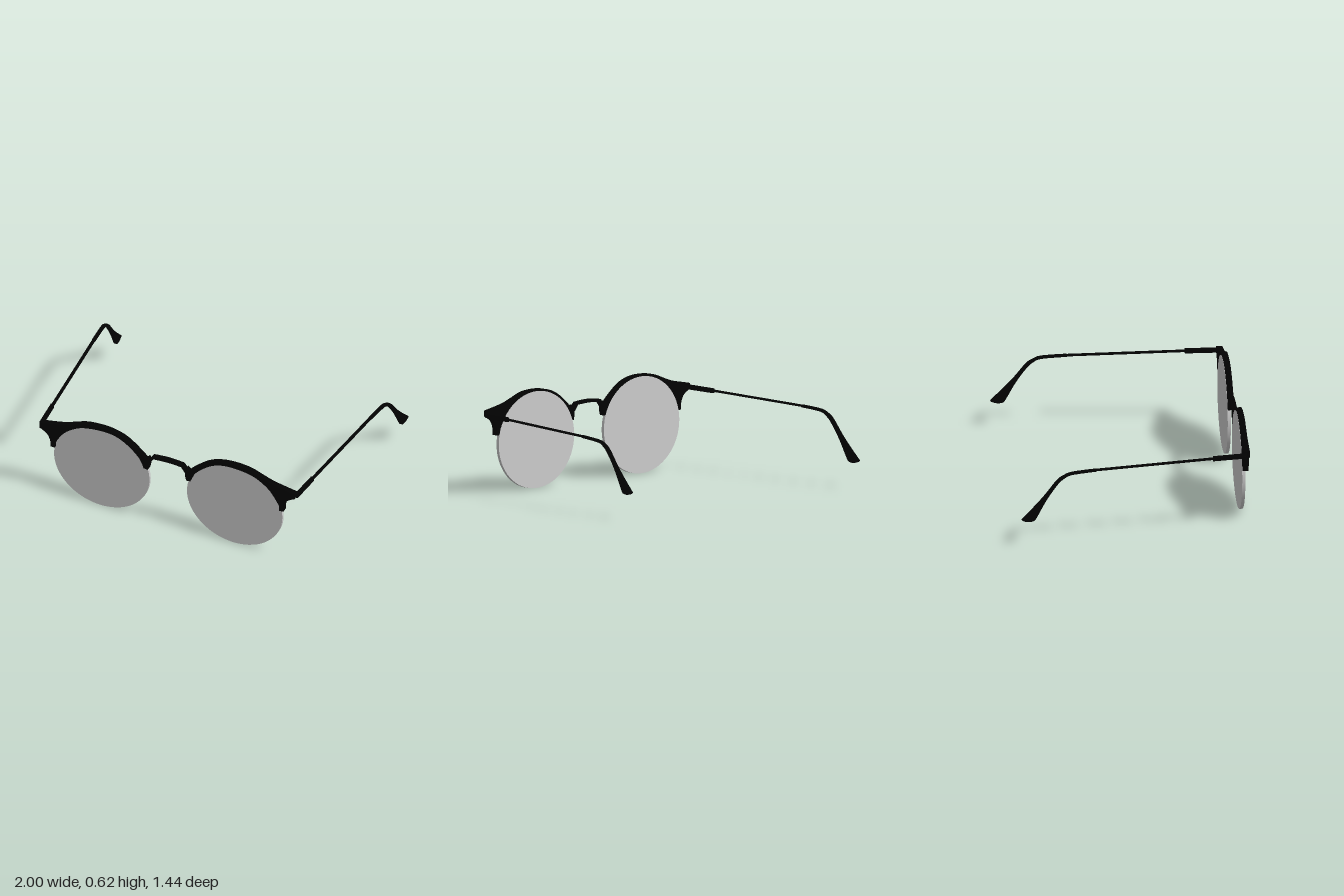
import * as THREE from 'three';
import { toCreasedNormals } from 'three/addons/utils/BufferGeometryUtils.js';

const black = new THREE.MeshStandardMaterial({ color: 0x020202 });
const grey = new THREE.MeshStandardMaterial({ color: 0xcccccc });

// Outline from runs of points: single points are corners, longer runs are smooth curves.
function outline(runs, s = 1) {
  const shape = new THREE.Shape();
  runs.forEach((run, i) => {
    const pts = run.map(([x, y]) => new THREE.Vector2(x * s, y));
    if (i === 0) shape.moveTo(pts[0].x, pts[0].y);
    else shape.lineTo(pts[0].x, pts[0].y);
    if (pts.length > 1) shape.splineThru(pts.slice(1));
  });
  shape.closePath();
  return shape;
}

// Slab of the given total thickness, centred on z = 0.
function slab(shape, thickness, bevel) {
  const depth = thickness - 2 * bevel;
  const g = new THREE.ExtrudeGeometry(shape, {
    depth, curveSegments: 5, bevelEnabled: bevel > 0,
    bevelThickness: bevel, bevelSize: bevel, bevelOffset: -bevel, bevelSegments: 2,
  });
  return toCreasedNormals(g.translate(0, 0, -depth / 2), 0.6);
}

function add(parent, name, geometry, material = black) {
  const mesh = new THREE.Mesh(geometry, material);
  mesh.name = name;
  parent.add(mesh);
  return mesh;
}

// Half-rim brow: nose end, outer arc, end piece, outer prong, inner arc.
const browRuns = [
  [[0.132, 0.397], [0.124, 0.44], [0.13, 0.49]],
  [[0.148, 0.472], [0.195, 0.517], [0.275, 0.579], [0.355, 0.612], [0.45, 0.624], [0.56, 0.615], [0.65, 0.583], [0.73, 0.556], [0.877, 0.527]],
  [[0.877, 0.49]],
  [[0.865, 0.485], [0.825, 0.458], [0.804, 0.415], [0.8, 0.366]],
  [[0.772, 0.366]],
  [[0.77, 0.405], [0.714, 0.492], [0.65, 0.547], [0.57, 0.584], [0.45, 0.599], [0.355, 0.588], [0.275, 0.547], [0.195, 0.473], [0.16, 0.4]],
];

// Bridge strip between the two nose ends.
const bridgeRuns = [
  [[-0.14, 0.45]],
  [[-0.128, 0.472]],
  [[-0.104, 0.504]],
  [[-0.08, 0.507], [0, 0.512], [0.08, 0.507]],
  [[0.104, 0.504]],
  [[0.128, 0.472]],
  [[0.14, 0.45]],
  [[0.122, 0.45]],
  [[0.094, 0.488], [0, 0.493], [-0.094, 0.488]],
  [[-0.122, 0.45]],
];

// Temple profiles, drawn as (z, y).
const hingeRuns = [[[0.7, 0.515]], [[0.49, 0.51]], [[0.49, 0.482]], [[0.7, 0.486]]];
const wireRuns = [[[0.5, 0.503]], [[-0.27, 0.479]], [[-0.27, 0.467]], [[0.5, 0.491]]];
const tipRuns = [
  [[-0.245, 0.482], [-0.4, 0.471], [-0.455, 0.452], [-0.5, 0.42], [-0.574, 0.328], [-0.64, 0.255], [-0.722, 0.173]],
  [[-0.715, 0.165], [-0.685, 0.156], [-0.65, 0.158], [-0.628, 0.178], [-0.565, 0.292], [-0.495, 0.392], [-0.45, 0.433], [-0.4, 0.453], [-0.245, 0.465]],
];

// Stand a profile along z and splay it outward toward the back.
function templePart(runs, thickness, bevel, s) {
  const g = slab(outline(runs), thickness, bevel).rotateY(-Math.PI / 2);
  const p = g.attributes.position;
  for (let i = 0; i < p.count; i++) {
    p.setX(i, p.getX(i) + s * (0.878 + (0.7 - p.getZ(i)) * 0.077));
  }
  return g;
}

export function createModel() {
  const model = new THREE.Group();
  model.name = 'glasses';

  for (const [side, s] of [['left', 1], ['right', -1]]) {
    add(model, `${side}Brow`, slab(outline(browRuns, s), 0.038, 0)).position.z = 0.704;

    // Lens: a thin, slightly flattened disc set against the back of the brow
    const lens = new THREE.CylinderGeometry(1, 1, 0.02, 64).rotateX(Math.PI / 2).scale(0.328, 0.306, 1);
    add(model, `${side}Lens`, lens, grey).position.set(s * 0.457, 0.306, 0.694);

    const temple = new THREE.Group();
    temple.name = `${side}Temple`;
    add(temple, 'hinge', templePart(hingeRuns, 0.022, 0.002, s));
    add(temple, 'wire', templePart(wireRuns, 0.019, 0.002, s));
    add(temple, 'earTip', templePart(tipRuns, 0.024, 0.005, s));
    model.add(temple);
  }

  add(model, 'bridge', slab(outline(bridgeRuns), 0.036, 0.002)).position.z = 0.702;
  return model;
}
